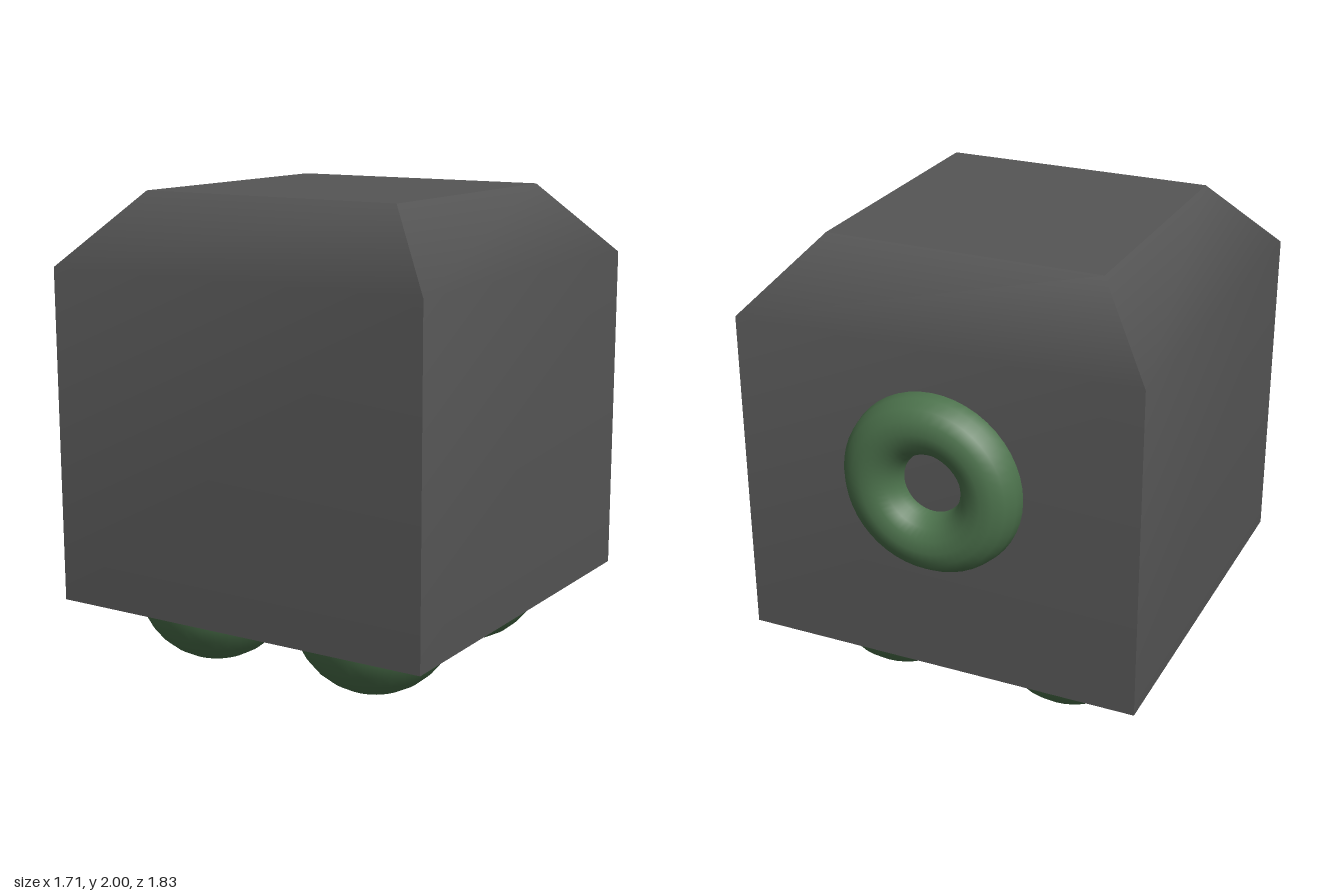
import * as THREE from 'three';

const bodyMat = new THREE.MeshStandardMaterial({ color: 0x555555 });
const greenMat = new THREE.MeshStandardMaterial({ color: 0x4c724c });

// Four corners of a horizontal square, counter-clockwise from above
const ring = (half, y) => [[-half, y, half], [half, y, half], [half, y, -half], [-half, y, -half]];

// Box with a bevelled top: each wall blends smoothly into its slope
function bodyGeometry() {
  const bottom = ring(0.855, 0.3), shoulder = ring(0.855, 1.7), top = ring(0.585, 2);
  const positions = [], index = [];
  const quad = (a, b, c, d) => index.push(a, b, c, a, c, d);
  for (let i = 0; i < 4; i++) {
    const j = (i + 1) % 4, n = positions.length / 3;
    for (const r of [bottom, shoulder, top]) positions.push(...r[i], ...r[j]);
    quad(n, n + 1, n + 3, n + 2);
    quad(n + 2, n + 3, n + 5, n + 4);
  }
  // Flat caps with their own vertices
  for (const cap of [top, [...bottom].reverse()]) {
    const n = positions.length / 3;
    positions.push(...cap.flat());
    quad(n, n + 1, n + 2, n + 3);
  }
  const geo = new THREE.BufferGeometry();
  geo.setAttribute('position', new THREE.Float32BufferAttribute(positions, 3));
  geo.setIndex(index);
  geo.computeVertexNormals();
  return geo;
}

export function createModel() {
  const group = new THREE.Group();
  const add = (name, geo, mat, x, y, z) => {
    const mesh = new THREE.Mesh(geo, mat);
    mesh.name = name;
    mesh.position.set(x, y, z);
    group.add(mesh);
  };

  add('body', bodyGeometry(), bodyMat, 0, 0, 0.0625);

  // Four round feet sunk into the underside
  const foot = new THREE.SphereGeometry(0.342, 32, 16);
  for (const [side, x] of [['Right', -0.41], ['Left', 0.38]])
    for (const [end, z] of [['front', 0.45], ['back', -0.325]])
      add(`${end}${side}Foot`, foot, greenMat, x, 0.342, z);

  // Ring tail half sunk into the back wall
  add('tailRing', new THREE.TorusGeometry(0.254, 0.127, 16, 48), greenMat, 0, 1.15, -0.788);
  return group;
}
